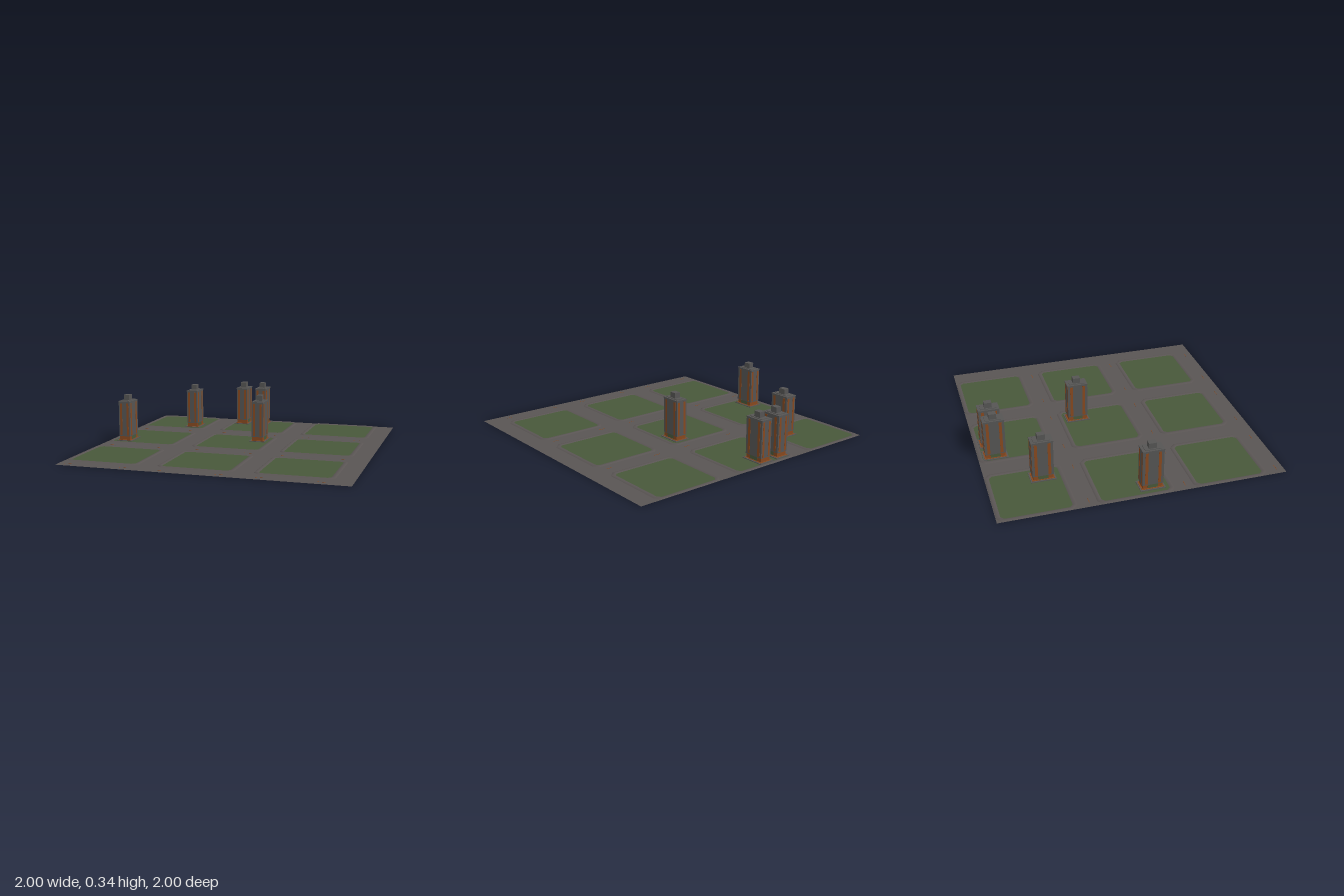
import * as THREE from 'three';

const mat = (name, color, side = THREE.FrontSide) => {
  const m = new THREE.MeshStandardMaterial({ color, side });
  m.name = name;
  return m;
};

// Octagon (chamfered square) as [x, z] pairs, running from +x towards +z
function octagon(h, c) {
  const k = h - c;
  return [[h, -k], [h, k], [k, h], [-k, h], [-h, k], [-h, -k], [-k, -h], [k, -h]];
}

const HALF = 0.267, CHAMFER = 0.04;
const inset = (d) => octagon(HALF - d, CHAMFER - d * 0.586);

// Raised curb: a low cross-section swept round the block outline
function curbGeometry() {
  const profile = [[0, 0], [0.007, 0.005], [0.02, 0.005], [0.03, 0.001]];
  const pos = [], index = [];
  profile.forEach(([d, y]) => inset(d).forEach(([x, z]) => pos.push(x, y, z)));
  for (let i = 0; i < profile.length - 1; i++) {
    for (let j = 0; j < 8; j++) {
      const a = i * 8 + j, b = i * 8 + (j + 1) % 8;
      index.push(a, a + 8, b, b, a + 8, b + 8);
    }
  }
  const g = new THREE.BufferGeometry();
  g.setAttribute('position', new THREE.Float32BufferAttribute(pos, 3));
  g.setIndex(index);
  g.computeVertexNormals();
  return g;
}

export function createModel() {
  const city = new THREE.Group();
  city.name = 'cityGrid';
  const asphalt = mat('asphalt', 0x595453, THREE.DoubleSide);
  const grass = mat('grass', 0x48583a, THREE.DoubleSide);
  const concrete = mat('darkConcrete', 0x555453);
  const rust = mat('rust', 0x86481f);

  const add = (parent, name, geo, material, x = 0, y = 0, z = 0) => {
    const m = new THREE.Mesh(geo, material);
    m.name = name;
    m.position.set(x, y, z);
    parent.add(m);
    return m;
  };
  const box = (parent, name, w, h, d, material, x, y, z) =>
    add(parent, name, new THREE.BoxGeometry(w, h, d), material, x, y + h / 2, z);

  // Road sheet with an opening for every block
  const road = new THREE.Shape([[-1, -1], [1, -1], [1, 1], [-1, 1]].map((p) => new THREE.Vector2(...p)));
  const centres = [0, 1, 2].map((i) => -0.731 + i * 0.6667);
  for (const cx of centres) for (const cz of centres) {
    road.holes.push(new THREE.Path(inset(0).map(([x, z]) => new THREE.Vector2(cx + x, -cz - z))));
  }
  add(city, 'road', new THREE.ShapeGeometry(road).rotateX(-Math.PI / 2), asphalt);

  // Nine blocks: curb, lawn, and small road marks below each
  const curb = curbGeometry();
  const lawn = new THREE.ShapeGeometry(
    new THREE.Shape(inset(0.029).map(([x, z]) => new THREE.Vector2(x, z)))
  ).rotateX(-Math.PI / 2);
  for (const cx of centres) for (const cz of centres) {
    const block = new THREE.Group();
    block.name = 'block';
    block.position.set(cx, 0, cz);
    city.add(block);
    add(block, 'curb', curb, asphalt);
    add(block, 'lawn', lawn, grass, 0, 0.001, 0);
    for (const dx of [-0.2, 0.2]) box(block, 'roadMark', 0.05, 0.001, 0.003, rust, dx, 0, 0.336 + 0.01);
  }

  // Tower: pad, recessed rusty base, streaked body, stepped roof and vent
  function tower(x, z) {
    const t = new THREE.Group();
    t.name = 'tower';
    t.position.set(x, 0, z);
    city.add(t);
    box(t, 'pad', 0.122, 0.005, 0.176, concrete, 0, 0.001, 0);
    box(t, 'padTrim', 0.1, 0.002, 0.156, rust, 0, 0.006, 0);
    box(t, 'base', 0.082, 0.035, 0.138, rust, 0, 0.002, 0);
    box(t, 'body', 0.088, 0.265, 0.148, concrete, 0, 0.035, 0);
    box(t, 'roofRim', 0.092, 0.008, 0.152, concrete, 0, 0.294, 0);
    box(t, 'roofStep', 0.064, 0.004, 0.112, concrete, 0, 0.302, 0);
    box(t, 'vent', 0.043, 0.043, 0.053, concrete, 0, 0.302, 0);
    for (const s of [-1, 1]) {
      box(t, 'basePanel', 0.002, 0.028, 0.07, grass, s * 0.041, 0.006, 0);
      // Rust streaks on the broad and narrow sides
      for (const k of [-1, 1]) {
        box(t, 'sideStreak', 0.002, 0.245, 0.02, rust, s * 0.044, 0.042, k * 0.046);
        box(t, 'endStreak', 0.016, 0.245, 0.002, rust, k * 0.026, 0.042, s * 0.074);
      }
    }
  }
  [[-0.882, 0.06], [-0.584, -0.615], [-0.237, -0.877], [-0.078, -0.881], [0.089, -0.197]]
    .forEach(([x, z]) => tower(x, z));

  return city;
}
